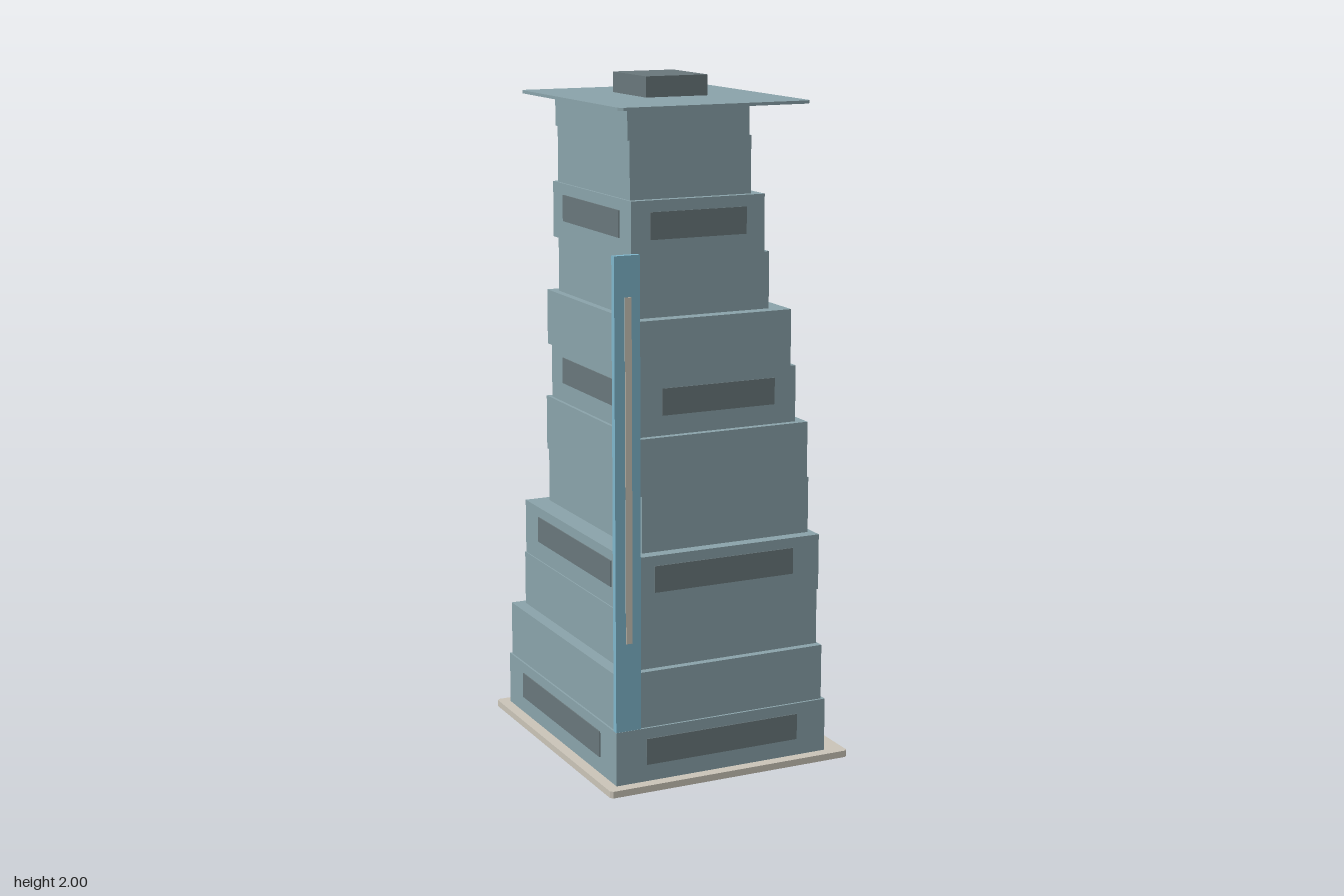
import * as THREE from 'three';

export function createModel() {
  const model = new THREE.Group();
  const material = (name, color) => {
    const m = new THREE.MeshStandardMaterial({ color });
    m.name = name;
    return m;
  };
  const wall = material('blue grey wall', 0x8aa3aa);
  const stone = material('pale stone', 0xcac4b8);
  const dark = material('dark grey', 0x69777b);
  const signBlue = material('sign blue', 0x7fb6cb);

  const add = (name, geometry, mat, parent = model) => {
    const mesh = new THREE.Mesh(geometry, mat);
    mesh.name = name;
    parent.add(mesh);
    return mesh;
  };
  // Box given by its limits on each axis
  const box = (name, mat, x0, x1, y0, y1, z0, z1, parent) => {
    const mesh = add(name, new THREE.BoxGeometry(x1 - x0, y1 - y0, z1 - z0), mat, parent);
    mesh.position.set((x0 + x1) / 2, (y0 + y1) / 2, (z0 + z1) / 2);
    return mesh;
  };
  // Flat slab with small cut corners
  const slab = (name, mat, x0, x1, y0, y1, z0, z1, c) => {
    const shape = new THREE.Shape([
      [x0 + c, z0], [x1 - c, z0], [x1, z0 + c], [x1, z1 - c],
      [x1 - c, z1], [x0 + c, z1], [x0, z1 - c], [x0, z0 + c],
    ].map(([x, z]) => new THREE.Vector2(x, -z)));
    const geometry = new THREE.ExtrudeGeometry(shape, { depth: y1 - y0, bevelEnabled: false });
    geometry.rotateX(-Math.PI / 2).translate(0, y0, 0);
    return add(name, geometry, mat);
  };

  slab('basePlate', stone, -0.386, 0.386, 0, 0.02, -0.437, 0.437, 0.008);

  // Storeys: left limit, right limit, half depth
  const storeys = [
    [-0.353, 0.325, 0.403], [-0.347, 0.315, 0.396],
    [-0.309, 0.309, 0.373], [-0.305, 0.314, 0.373],
    [-0.24, 0.297, 0.336], [-0.246, 0.292, 0.336],
    [-0.236, 0.262, 0.315], [-0.249, 0.245, 0.315],
    [-0.227, 0.193, 0.275], [-0.243, 0.177, 0.275],
    [-0.236, 0.144, 0.253], [-0.243, 0.138, 0.253],
  ];
  const rise = 0.166;
  const levelY = (i) => 0.18 + (i - 1) * rise;
  for (let i = 1; i < storeys.length; i++) {
    const [x0, x1, d] = storeys[i];
    const top = i === storeys.length - 1 ? 1.932 : levelY(i + 1);
    box(`storey${i + 1}`, wall, x0, x1, levelY(i), top, -d, d);
  }

  // Hollow ground storey with an open doorway on the +x side
  const ground = new THREE.Group();
  ground.name = 'groundStorey';
  model.add(ground);
  const [gx0, gx1, gd] = storeys[0];
  const t = 0.02;
  box('frontWall', wall, gx0, gx1, 0.02, 0.18, gd - t, gd, ground);
  box('backWall', wall, gx0, gx1, 0.02, 0.18, -gd, -gd + t, ground);
  box('sideWall', wall, gx0, gx0 + t, 0.02, 0.18, -gd + t, gd - t, ground);
  const w = gd - t;
  const doorWall = new THREE.Shape([
    [-w, 0.02], [-0.078, 0.02], [-0.078, 0.165], [0.078, 0.165],
    [0.078, 0.02], [w, 0.02], [w, 0.18], [-w, 0.18],
  ].map(([x, y]) => new THREE.Vector2(x, y)));
  const doorGeometry = new THREE.ExtrudeGeometry(doorWall, { depth: t, bevelEnabled: false });
  doorGeometry.rotateY(Math.PI / 2).translate(gx1 - t, 0, 0);
  add('doorwayWall', doorGeometry, wall, ground);

  // Entrance canopy and lintel
  slab('canopy', wall, 0.322, 0.386, 0.169, 0.178, -0.09, 0.09, 0.006);
  box('lintel', stone, 0.32, 0.34, 0.16, 0.169, -0.08, 0.08);

  // Window bands: storey index, bottom height
  const p = 0.003;
  for (const [i, y] of [[0, 0.07], [3, 0.57], [6, 1.068], [9, 1.563]]) {
    const [x0, x1, d] = storeys[i];
    const cx = (x0 + x1) / 2;
    const hx = ((x1 - x0) / 2) * 0.72;
    const hz = d * 0.72;
    const y1 = y + 0.078;
    box('frontWindows', dark, cx - hx, cx + hx, y, y1, d - p, d + p);
    box('backWindows', dark, cx - hx, cx + hx, y, y1, -d - p, -d + p);
    box('rightWindows', dark, x0 - p, x0 + p, y, y1, -hz, hz);
    if (i > 0) box('leftWindows', dark, x1 - p, x1 + p, y, y1, -hz, hz);
  }

  // Roof slab and rooftop housing
  slab('roof', wall, -0.312, 0.283, 1.931, 1.94, -0.351, 0.351, 0.012);
  box('rooftopHousing', dark, -0.098, 0.098, 1.938, 2, -0.159, 0.066);

  // Tall upright sign with a thin inlay
  box('sign', signBlue, -0.353, -0.275, 0.18, 1.545, 0.384, 0.402);
  box('signInlay', stone, -0.322, -0.302, 0.44, 1.43, 0.4, 0.405);

  return model;
}
